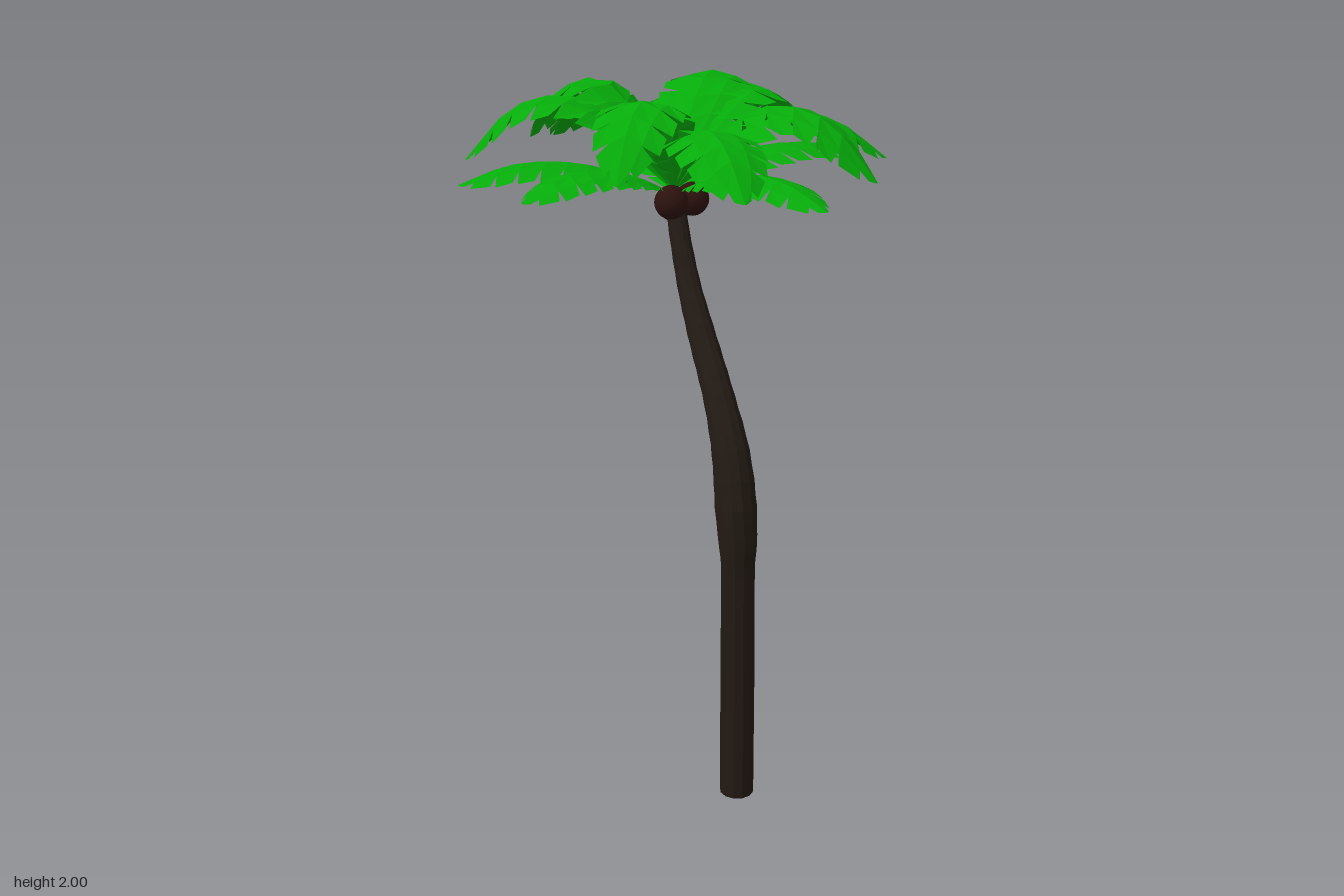
import * as THREE from 'three';

const bark = new THREE.MeshStandardMaterial({ color: 0x211913, flatShading: true });
const shell = new THREE.MeshStandardMaterial({ color: 0x2c120e });
const leaf = new THREE.MeshStandardMaterial({ color: 0x06ac0a, flatShading: true, side: THREE.DoubleSide });

// Frond rib profiles as [distance from the crown, height], for a reach of 1
const PROFILES = {
  low: [[0, 1.675], [0.2, 1.735], [0.48, 1.785], [0.75, 1.785], [1, 1.735]],
  mid: [[0, 1.68], [0.2, 1.82], [0.48, 1.915], [0.75, 1.885], [1, 1.77]],
  tall: [[0, 1.68], [0.2, 1.85], [0.48, 1.96], [0.75, 1.93], [1, 1.77]],
  high: [[0, 1.68], [0.2, 1.87], [0.5, 1.995], [0.78, 1.95], [1, 1.8]],
};

// Each frond: tip x, tip z, profile, half width
const FRONDS = [
  [0.01, -0.63, 'low', 0.11], [0.62, -0.12, 'low', 0.11], [0.24, 0.58, 'low', 0.11],
  [-0.51, 0.23, 'low', 0.11], [-0.63, -0.05, 'low', 0.11],
  [-0.22, -0.52, 'mid', 0.125], [0.21, -0.53, 'mid', 0.125], [0.62, 0.13, 'mid', 0.14],
  [0.01, 0.57, 'mid', 0.135],
  [0.49, -0.3, 'tall', 0.13], [0.45, 0.44, 'tall', 0.135], [-0.57, -0.23, 'tall', 0.13],
  [-0.29, 0.39, 'high', 0.125], [-0.34, -0.36, 'high', 0.135], [0.35, -0.4, 'high', 0.135],
];

// Leaning trunk: a cylinder bent along a curve whose x holds the radius
function makeTrunk() {
  const curve = new THREE.CatmullRomCurve3([
    [0.05, 0, 0.585], [0.05, 0.4, 0.577], [0.05, 0.75, 0.568], [0.055, 0.79, 0.565],
    [0.059, 0.9, 0.545], [0.054, 1.04, 0.5], [0.045, 1.17, 0.4], [0.04, 1.315, 0.245],
    [0.035, 1.42, 0.14], [0.032, 1.51, 0.075], [0.03, 1.61, 0.02], [0.03, 1.68, 0],
  ].map(p => new THREE.Vector3(...p)));
  const rows = 48;
  const geo = new THREE.CylinderGeometry(1, 1, 1, 12, rows);
  const pos = geo.attributes.position;
  for (let i = 0; i < pos.count; i++) {
    const t = THREE.MathUtils.clamp(pos.getY(i) + 0.5, 0, 1);
    const c = curve.getPointAt(t);
    const d = curve.getTangentAt(t);
    const len = Math.hypot(d.y, d.z);
    const ridge = t > 0.45 && Math.round(t * rows) % 2 ? 1.03 : 1;
    const flat = t < 0.01 ? 0 : 1; // keeps the foot level
    const x = pos.getX(i) * c.x * ridge, n = pos.getZ(i) * c.x * ridge;
    pos.setXYZ(i, x + 0.005, c.y - flat * n * d.z / len, c.z + n * (flat ? d.y / len : 1));
  }
  const trunk = new THREE.Mesh(geo, bark);
  trunk.name = 'trunk';
  return trunk;
}

// Arched frond: a slightly folded blade along the rib, its outer half cut into leaflets
function makeFrond([tipX, tipZ, kind, halfWidth]) {
  const reach = Math.hypot(tipX, tipZ);
  const rib = new THREE.CatmullRomCurve3(
    PROFILES[kind].map(([r, y]) => new THREE.Vector3(r * reach, y, 0)));
  const widthCurve = new THREE.CatmullRomCurve3(
    [[0, 0.05], [0.12, 0.3], [0.27, 0.75], [0.45, 1], [0.65, 0.98], [0.82, 0.8], [0.93, 0.5], [1, 0.03]]
      .map(p => new THREE.Vector3(...p, 0)));
  const widths = widthCurve.getPoints(100);
  const leaflets = 10;
  const verts = [];

  // Half width share at rib parameter t
  const widthAt = t => {
    const k = Math.max(1, widths.findIndex(p => p.x >= t));
    const a = widths[k - 1], b = widths[k];
    return THREE.MathUtils.mapLinear(t, a.x, b.x, a.y, b.y);
  };
  // Point at rib parameter t, share s of the half width, drooping away from the rib
  const at = (t, s, side) => {
    const u = Math.min(t, 1);
    const p = rib.getPointAt(u), d = rib.getTangentAt(u);
    const w = halfWidth * widthAt(u) * s;
    const drop = w * (0.1 + 0.2 * s);
    return [p.x + d.y * drop, p.y - d.x * drop, side * w];
  };
  const quad = (a, b, c, d, side) => {
    const order = side > 0 ? [a, c, b, a, d, c] : [a, b, c, a, c, d];
    order.forEach(p => verts.push(...p));
  };

  for (const side of [1, -1]) {
    for (let i = 0; i < leaflets; i++) {
      const step = 1 / leaflets, t0 = i * step, t1 = t0 + step;
      const sweep = step * 0.35;
      const inA = at(t0 + sweep, 0.5, side), inB = at(t1 + sweep, 0.5, side);
      // solid band next to the rib
      quad(at(t0, 0, side), at(t1, 0, side), inB, inA, side);
      // free leaflet end with a forward point
      quad(inA, inB, at(t1 + sweep * 1.7, 1.06, side), at(t0 + sweep * 2.3, 0.98, side), side);
    }
  }
  const geo = new THREE.BufferGeometry();
  geo.setAttribute('position', new THREE.Float32BufferAttribute(verts, 3));
  geo.computeVertexNormals();
  const frond = new THREE.Mesh(geo, leaf);
  frond.rotation.y = -Math.atan2(tipZ, tipX);
  frond.name = 'frond';
  return frond;
}

export function createModel() {
  const model = new THREE.Group();
  model.name = 'palmTree';
  model.add(makeTrunk());

  // Coconuts under the crown
  const nuts = new THREE.Group();
  nuts.name = 'coconuts';
  for (const [x, y, z] of [[-0.025, 1.665, 0.055], [0.048, 1.665, 0.03], [0.01, 1.638, -0.02]]) {
    const nut = new THREE.Mesh(new THREE.SphereGeometry(0.05, 20, 14), shell);
    nut.position.set(x, y, z);
    nut.name = 'coconut';
    nuts.add(nut);
  }
  model.add(nuts);

  // Crown of fronds
  const crown = new THREE.Group();
  crown.name = 'crown';
  FRONDS.forEach(f => crown.add(makeFrond(f)));
  model.add(crown);
  return model;
}
